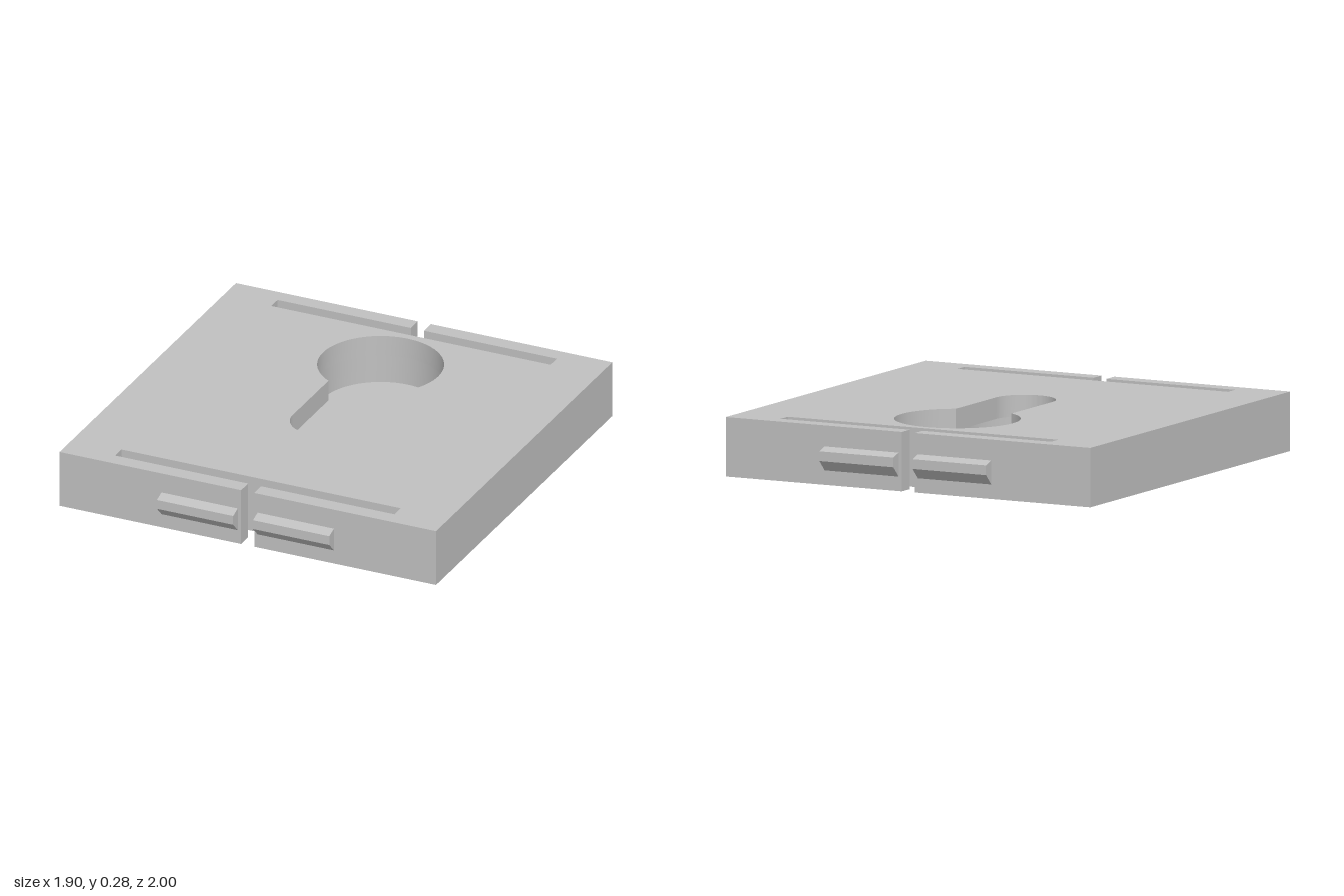
import * as THREE from 'three';
import { toCreasedNormals } from 'three/addons/utils/BufferGeometryUtils.js';

const H = 0.275;          // plate thickness
const FLOOR = 0.04;       // pocket floor height
const LIP = 0.175;        // underside of the lip around the narrow slot
const R = 0.29, r = 0.145, CY = 0.48, SY = -0.155; // keyhole radii and centres
const SEG = 32;

// Plate outline with a T-shaped relief cut in the front and back edges
function outlineShape() {
  const half = [
    [-0.95, -0.95], [-0.033, -0.95], [-0.033, -0.875], [-0.705, -0.875], [-0.705, -0.807],
    [0.705, -0.807], [0.705, -0.875], [0.033, -0.875], [0.033, -0.95], [0.95, -0.95],
  ];
  const pts = [...half, ...half.map(([x, y]) => [-x, -y])];
  return new THREE.Shape(pts.map(([x, y]) => new THREE.Vector2(x, y)));
}

// Round entry with a narrow slot
function keyholeShape() {
  const s = new THREE.Shape();
  s.absarc(0, CY, R, -Math.PI / 3, Math.PI * 4 / 3, false);
  s.absarc(0, SY, r, Math.PI, Math.PI * 2, false);
  return s;
}

// Wide pocket behind the slot
function pocketShape() {
  const s = new THREE.Shape();
  s.absarc(0, CY, R, 0, Math.PI, false);
  s.absarc(0, SY, R, Math.PI, Math.PI * 2, false);
  return s;
}

// Part of the pocket that is covered by the lip
function lipShape() {
  const s = new THREE.Shape();
  s.absarc(0, CY, R, Math.PI * 4 / 3, Math.PI, true);
  s.absarc(0, SY, R, Math.PI, Math.PI * 2, false);
  s.absarc(0, CY, R, 0, -Math.PI / 3, true);
  s.absarc(0, SY, r, Math.PI * 2, Math.PI, true);
  return s;
}

// Flat horizontal face at height y
function cap(shape, y, up) {
  const geo = new THREE.ShapeGeometry(shape, SEG);
  geo.rotateX(-Math.PI / 2).translate(0, y, 0);
  if (!up) {
    geo.index.array.reverse();
    geo.computeVertexNormals();
  }
  return geo;
}

// Vertical wall following a shape, facing outward or inward
function wall(shape, y0, y1, outward) {
  const pts = shape.getPoints(SEG);
  if (THREE.ShapeUtils.isClockWise(pts) === outward) pts.reverse();
  const pos = [];
  pts.forEach((a, i) => {
    const b = pts[(i + 1) % pts.length];
    if (a.distanceTo(b) < 1e-5) return;
    pos.push(a.x, y0, -a.y, b.x, y0, -b.y, b.x, y1, -b.y);
    pos.push(a.x, y0, -a.y, b.x, y1, -b.y, a.x, y1, -a.y);
  });
  const geo = new THREE.BufferGeometry();
  geo.setAttribute('position', new THREE.Float32BufferAttribute(pos, 3));
  return toCreasedNormals(geo, 0.5);
}

export function createModel() {
  const model = new THREE.Group();
  model.name = 'keyholeMountPlate';
  const grey = new THREE.MeshStandardMaterial({ color: 0xc0c0c0 });
  grey.name = 'plain grey';

  const add = (parent, name, geo) => {
    const mesh = new THREE.Mesh(geo, grey);
    mesh.name = name;
    parent.add(mesh);
    return mesh;
  };

  // Plate body
  const plate = new THREE.Group();
  plate.name = 'plate';
  model.add(plate);
  const top = outlineShape();
  top.holes.push(keyholeShape());
  add(plate, 'plateTop', cap(top, H, true));
  add(plate, 'plateBottom', cap(outlineShape(), 0, false));
  add(plate, 'plateSides', wall(outlineShape(), 0, H, true));

  // Blind keyhole with an undercut pocket
  const keyhole = new THREE.Group();
  keyhole.name = 'keyhole';
  model.add(keyhole);
  add(keyhole, 'keyholeWall', wall(keyholeShape(), LIP, H, false));
  add(keyhole, 'lipUnderside', cap(lipShape(), LIP, false));
  add(keyhole, 'pocketWall', wall(pocketShape(), FLOOR, LIP, false));
  add(keyhole, 'pocketFloor', cap(pocketShape(), FLOOR, true));

  // Snap catches: profile in (outward, up), extruded along the edge
  const profile = new THREE.Shape([[0, 0.067], [0.05, 0.117], [0.05, 0.162], [0, 0.178]]
    .map(([x, y]) => new THREE.Vector2(x, y)));
  const catchGeo = new THREE.ExtrudeGeometry(profile, { depth: 0.385, bevelEnabled: false });
  catchGeo.translate(0, 0, -0.1925).rotateY(-Math.PI / 2);
  for (const side of [1, -1]) {
    for (const x of [-0.2425, 0.2425]) {
      const name = (side > 0 ? 'front' : 'back') + (x > 0 ? 'Left' : 'Right') + 'Catch';
      const snap = add(model, name, catchGeo);
      snap.position.set(x, 0, side * 0.95);
      snap.rotation.y = side > 0 ? 0 : Math.PI;
    }
  }
  return model;
}
